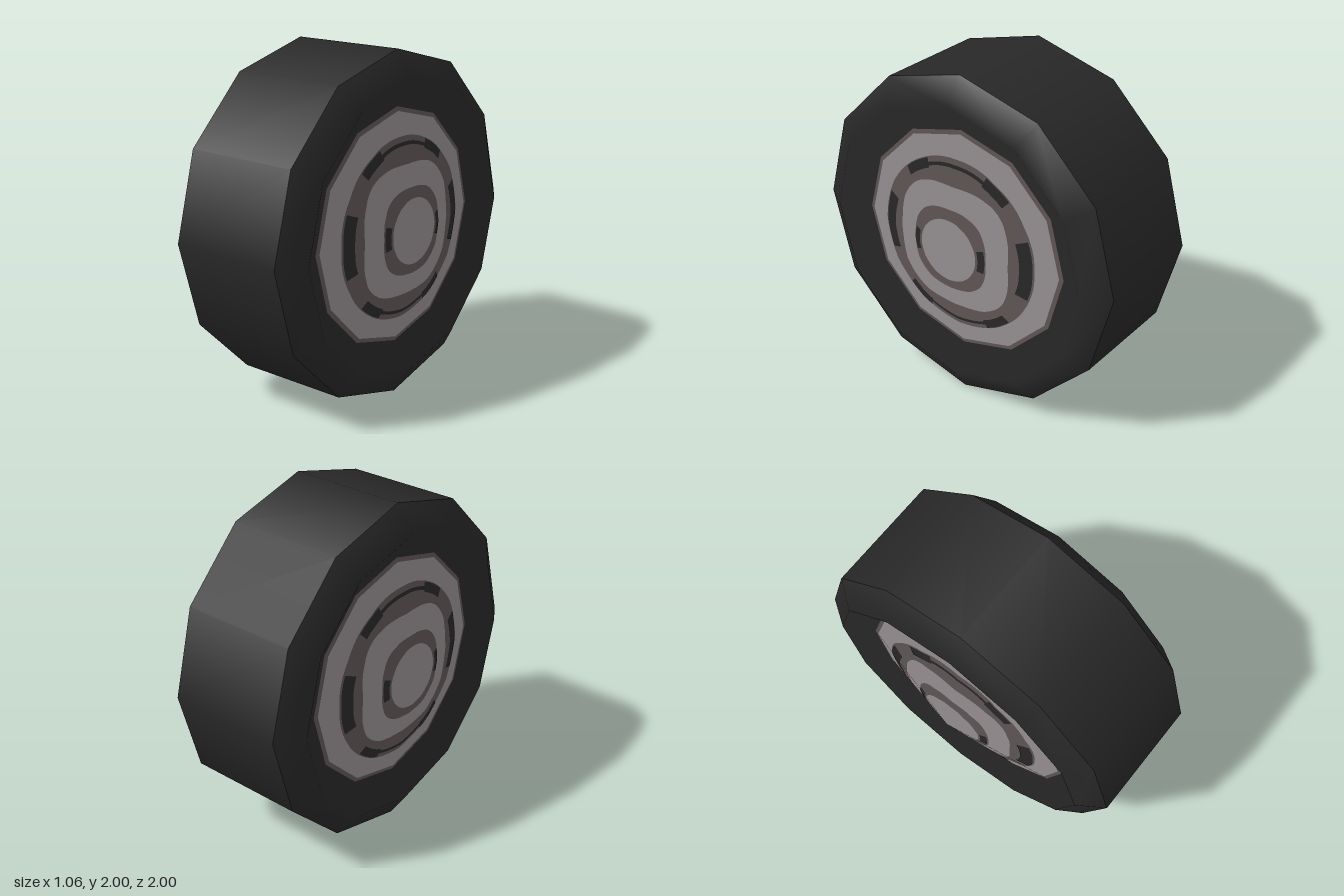
import * as THREE from 'three';

const SIDES = 12;
const RIM = 0.685, RIM_X = 0.35, TIP_X = 0.53;
const HALF = Math.PI / SIDES;

// Radius of a 12-sided polygon with corner radius 1 at an angle
function polygon(angle) {
  const step = 2 * HALF;
  const a = ((angle % step) + step) % step - HALF;
  return Math.cos(HALF) / Math.cos(a);
}

// Outlines of the hub rings: round, slightly squared, or 12-sided
const round = (r) => () => r;
const squared = (r, bulge) => (a) => r * (1 + bulge * Math.sin(2 * a) ** 2);
const faceted = (r) => (a) => r * polygon(a);

// Ring or arc between two outlines on the shallow hub cone, facing +z
function band(inner, outer, from = 0, to = 360, lift = 0) {
  const n = Math.ceil((to - from) / 5);
  const pos = [], normal = [], index = [];
  for (let i = 0; i <= n; i++) {
    const a = THREE.MathUtils.degToRad(from + (to - from) * i / n);
    for (const r of [inner(a), outer(a)]) {
      const depth = TIP_X - (TIP_X - RIM_X) * r / (RIM * polygon(a));
      pos.push(r * Math.cos(a), r * Math.sin(a), depth + lift);
      normal.push(0, 0, 1);
    }
    const k = i * 2;
    if (i < n) index.push(k, k + 1, k + 3);
    if (i < n && inner(a) > 0) index.push(k, k + 3, k + 2);
  }
  const g = new THREE.BufferGeometry();
  g.setAttribute('position', new THREE.Float32BufferAttribute(pos, 3));
  g.setAttribute('normal', new THREE.Float32BufferAttribute(normal, 3));
  g.setIndex(index);
  return g;
}

// Turned shape around the axle from [radius, x] points
function lathe(points) {
  const profile = points.map(([r, x]) => new THREE.Vector2(r, x));
  return new THREE.LatheGeometry(profile, SIDES).rotateZ(-Math.PI / 2);
}

// Tyre side, its shading blending smoothly into the hub
function sidewall(points, side) {
  const g = lathe(points);
  const p = g.attributes.position;
  for (let i = 0; i < p.count; i++) {
    if (Math.hypot(p.getY(i), p.getZ(i)) < 0.95) g.attributes.normal.setXYZ(i, side, 0, 0);
  }
  return g;
}

export function createModel() {
  const material = (name, color) => {
    const m = new THREE.MeshStandardMaterial({ color });
    m.name = name;
    return m;
  };
  const rubber = material('black rubber', 0x282828);
  const light = material('light metal', 0x979092);
  const dark = material('dark metal', 0x5f5756);

  const model = new THREE.Group();
  model.name = 'model';
  const wheel = new THREE.Group();
  wheel.name = 'wheel';
  wheel.position.y = 1;
  model.add(wheel);
  const add = (parent, name, geometry, mat) => {
    const m = new THREE.Mesh(geometry, mat);
    m.name = name;
    parent.add(m);
  };

  // Tyre
  add(wheel, 'tread', lathe([[1, -0.35], [1, 0.35]]), rubber);
  add(wheel, 'leftSidewall', sidewall([[1, 0.35], [0.85, 0.45], [RIM, RIM_X]], 1), rubber);
  add(wheel, 'rightSidewall', sidewall([[RIM, -RIM_X], [0.85, -0.45], [1, -0.35]], -1), rubber);

  // Hub caps, the same on both sides
  const centre = round(0.19), innerEdge = squared(0.25, 0.08);
  const middleEdge = squared(0.375, 0.12), outerEdge = round(0.525), rimEdge = faceted(0.66);
  for (const side of [1, -1]) {
    const hub = new THREE.Group();
    hub.name = side > 0 ? 'leftHub' : 'rightHub';
    hub.rotation.y = side * Math.PI / 2;
    wheel.add(hub);

    add(hub, 'hubCentre', band(round(0), centre), light);
    add(hub, 'innerGroove', band(centre, innerEdge), dark);
    add(hub, 'middleRing', band(innerEdge, middleEdge), light);
    add(hub, 'outerGroove', band(middleEdge, outerEdge), dark);
    add(hub, 'outerRing', band(outerEdge, rimEdge), light);
    add(hub, 'rimEdge', band(rimEdge, faceted(RIM)), dark);

    // Dark slots in the grooves
    const slot = (name, r0, r1, mid, half) => add(hub, name,
      band(round(r0), round(r1), mid - half, mid + half, 0.003), rubber);
    for (const mid of [0, 180]) {
      slot('sideSlot', 0.44, 0.515, mid, 21);
      slot('innerSlot', 0.205, 0.245, mid, 17);
    }
    for (const mid of [90, 270]) {
      slot('thinSlot', 0.475, 0.495, mid, 23);
      for (const s of [-1, 1]) slot('curvedSlot', 0.465, 0.52, mid + s * 33, 10);
    }
  }
  return model;
}
